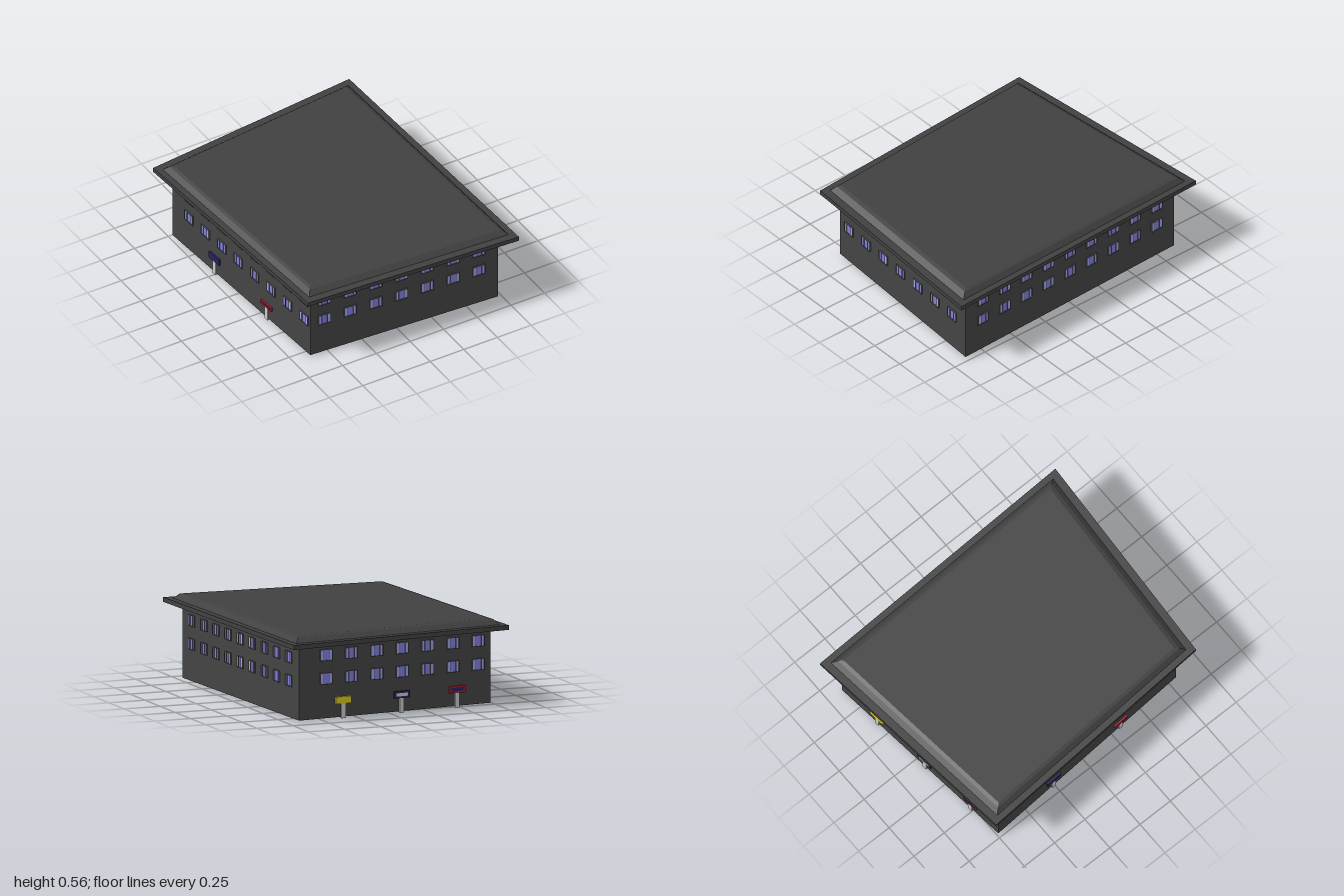
import * as THREE from 'three';

// Skewed footprint, anticlockwise from above: front-left, front-right, back-right, back-left (as seen facing the front)
const FOOTPRINT = [[-0.705, 0.91], [0.811, 0.998], [0.745, -1.0], [-0.815, -0.83]];
const WALL_SCALE = 0.889;
const WALL_BASE = 0.009;

const material = (color) => new THREE.MeshStandardMaterial({ color });
const mats = {
  wall: material(0x444444),
  roof: material(0x404040),
  frame: material(0x55555c),
  glass: material(0x8080e0),
  shutter: material(0xa3a3e6),
  door: material(0xcccccc),
  yellow: material(0xd8c81c),
  navy: material(0x24245c),
  white: material(0xdddddd),
  red: material(0xb01830),
  purple: material(0x5a2050),
};

// Stacks scaled copies of the footprint, [scale, height] from bottom to top, into a closed faceted solid
function stack(name, rings, mat) {
  const pts = rings.map(([s, y]) => FOOTPRINT.map(([x, z]) => [x * s, y, z * s]));
  const pos = [];
  const quad = (a, b, c, d) => [a, b, c, a, c, d].forEach((p) => pos.push(...p));
  for (let r = 0; r + 1 < pts.length; r++) {
    for (let i = 0; i < 4; i++) {
      const j = (i + 1) % 4;
      quad(pts[r][i], pts[r][j], pts[r + 1][j], pts[r + 1][i]);
    }
  }
  quad(...[...pts[0]].reverse());
  quad(...pts[pts.length - 1]);
  const geo = new THREE.BufferGeometry();
  geo.setAttribute('position', new THREE.Float32BufferAttribute(pos, 3));
  geo.computeVertexNormals();
  const mesh = new THREE.Mesh(geo, mat);
  mesh.name = name;
  return mesh;
}

function box(parent, name, mat, size, at) {
  const mesh = new THREE.Mesh(new THREE.BoxGeometry(...size), mat);
  mesh.name = name;
  mesh.position.set(...at);
  parent.add(mesh);
}

// Window with a central pane, open shutters and a thin surround; local z points out of the wall
function makeWindow(x, y) {
  const g = new THREE.Group();
  g.name = 'window';
  g.position.set(x, y, 0);
  const w = 0.088, h = 0.075, t = 0.004;
  box(g, 'glass', mats.glass, [w - t, h - t, 0.006], [0, 0, 0.001]);
  for (const s of [-1, 1]) {
    box(g, 'shutter', mats.shutter, [0.018, h - 3 * t, 0.006], [s * 0.031, 0, 0.004]);
    box(g, 'windowMullion', mats.frame, [0.003, h, 0.01], [s * 0.021, 0, 0.004]);
    box(g, 'windowJamb', mats.frame, [0.003, h, 0.01], [s * (w / 2 - 0.0015), 0, 0.004]);
    box(g, 'windowRail', mats.frame, [w, t, 0.01], [0, s * (h - t) / 2, 0.004]);
  }
  return g;
}

// Narrow door with a plain sign board over it
function makeEntrance(x, { board, accent, y, height }) {
  const g = new THREE.Group();
  g.name = 'entrance';
  g.position.x = x;
  const top = y - height / 2;
  box(g, 'door', mats.door, [0.032, top, 0.012], [0, top / 2, 0.004]);
  box(g, 'signBoard', mats[board], [0.115, height, 0.014], [0, y, 0.005]);
  if (accent) box(g, 'signPanel', mats[accent], [0.085, height * 0.45, 0.003], [0, y, 0.0125]);
  return g;
}

// Walls in footprint order; offsets run from the viewer's left end of each wall
const FACADES = [
  { name: 'frontFacade', columns: 7, start: 0.1, rows: [0.418, 0.266], signs: [] },
  { name: 'leftFacade', columns: 9, start: 0.146, rows: [0.4, 0.248], signs: [] },
  {
    name: 'backFacade', columns: 7, start: 0.195, rows: [0.418, 0.266],
    signs: [
      [0.32, { board: 'yellow', y: 0.118, height: 0.046 }],
      [0.745, { board: 'navy', accent: 'white', y: 0.118, height: 0.046 }],
      [1.15, { board: 'red', accent: 'navy', y: 0.118, height: 0.046 }],
    ],
  },
  {
    name: 'rightFacade', columns: 8, start: 0.19, rows: [0.418, 0.266],
    signs: [
      [0.48, { board: 'navy', y: 0.122, height: 0.046 }],
      [1.065, { board: 'red', accent: 'purple', y: 0.108, height: 0.03 }],
    ],
  },
];

export function createModel() {
  const model = new THREE.Group();
  model.name = 'building';

  model.add(stack('walls', [[WALL_SCALE, WALL_BASE], [WALL_SCALE, 0.495]], mats.wall));
  model.add(stack('eaves', [[1, 0.489], [1, 0.519]], mats.roof));
  model.add(stack('roof', [[0.946, 0.518], [0.908, 0.55], [0.88, 0.557]], mats.roof));

  FACADES.forEach(({ name, columns, start, rows, signs }, i) => {
    const [ax, az] = FOOTPRINT[i].map((v) => v * WALL_SCALE);
    const [bx, bz] = FOOTPRINT[(i + 1) % 4].map((v) => v * WALL_SCALE);
    const facade = new THREE.Group();
    facade.name = name;
    facade.position.set(ax, 0, az);
    facade.rotation.y = Math.atan2(az - bz, bx - ax);
    for (const y of rows) {
      for (let c = 0; c < columns; c++) facade.add(makeWindow(start + c * 0.185, y));
    }
    for (const [x, options] of signs) facade.add(makeEntrance(x, options));
    model.add(facade);
  });

  return model;
}
